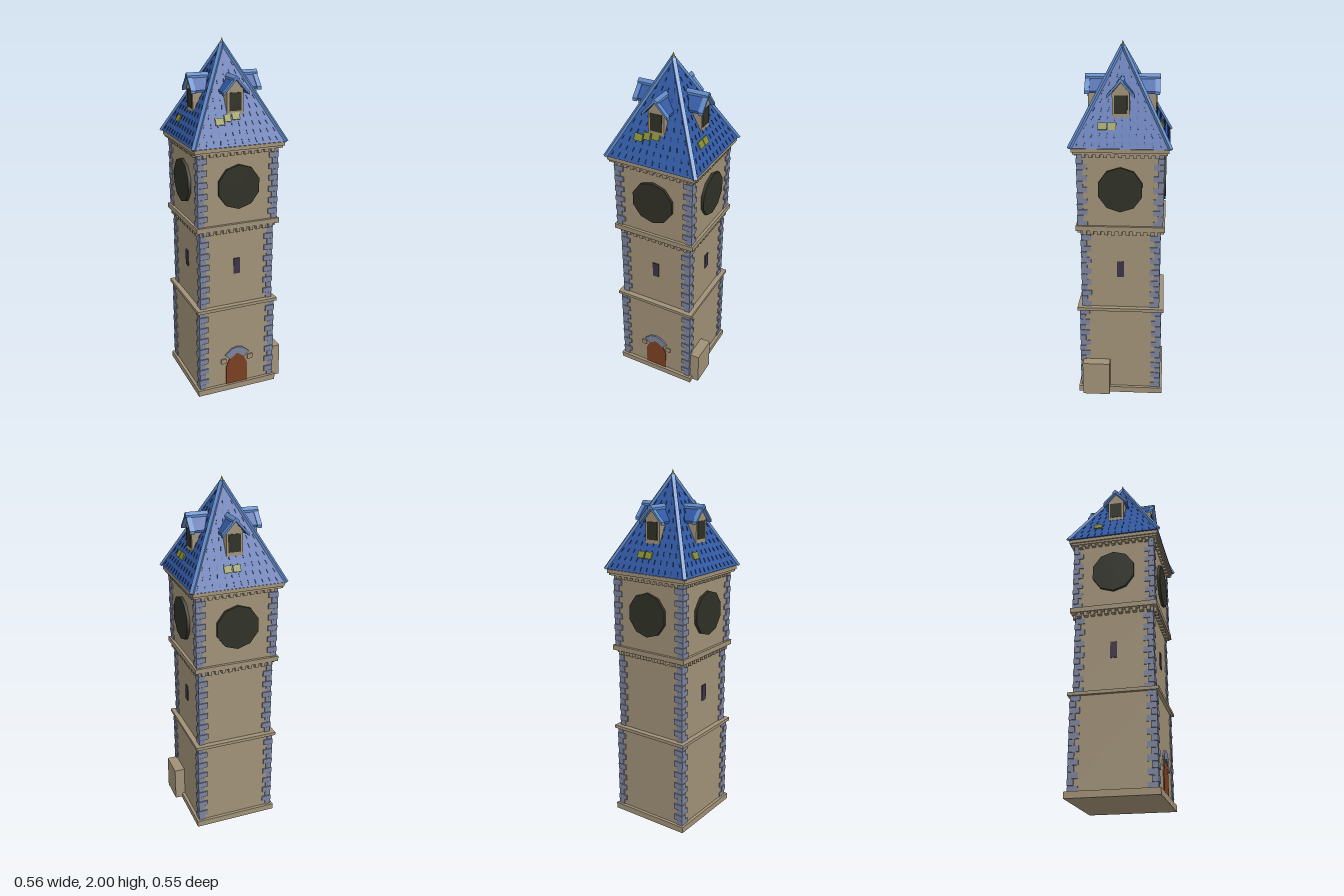
import * as THREE from 'three';
import { mergeGeometries } from 'three/addons/utils/BufferGeometryUtils.js';

const paint = (name, color) => {
  const m = new THREE.MeshStandardMaterial({ color });
  m.name = name;
  return m;
};

// Box geometry placed by its centre
const box = (w, h, d, x, y, z) => new THREE.BoxGeometry(w, h, d).translate(x, y, z);

// Flat outline pushed along z from z0 to z1
const slab = (points, z0, z1) => new THREE.ExtrudeGeometry(
  new THREE.Shape(points.map(p => new THREE.Vector2(...p))),
  { depth: z1 - z0, bevelEnabled: false }).translate(0, 0, z0);

// Inverted V used for gable roofs
const chevron = (half, top, eave, t, z0, z1) => slab(
  [[-half, eave], [-half, eave - t], [0, top - t], [half, eave - t], [half, eave], [0, top]], z0, z1);

export function createModel() {
  const stone = paint('sandstone', 0xa09177);
  const quoinMat = paint('blue grey stone', 0x7b839c);
  const roofMat = paint('roof blue', 0x3159a3);
  const ridgeMat = paint('ridge blue', 0x5f88c6);
  const gapMat = paint('tile gap navy', 0x1f3a70);
  const mossMat = paint('moss', 0x858a33);
  const darkMat = paint('dark glass', 0x2f3026);
  const slitMat = paint('slit purple', 0x3d3348);
  const doorMat = paint('door wood', 0x7a3f22);

  const model = new THREE.Group();
  model.name = 'clockTower';
  const tower = new THREE.Group();
  tower.name = 'tower';
  tower.position.x = -0.01;
  model.add(tower);
  const add = (parent, name, geometry, material) => {
    const m = new THREE.Mesh(geometry, material);
    m.name = name;
    parent.add(m);
    return m;
  };

  // Three wall storeys: half width, bottom, top
  const storeys = [[0.225, 0.03, 0.535], [0.213, 0.545, 1.015], [0.227, 1.035, 1.45]];
  for (const [half, y0, y1] of storeys)
    add(tower, 'wall', box(half * 2, y1 - y0, half * 2, 0, (y0 + y1) / 2, 0), stone);

  // Projecting bands: half width, bottom, top
  const bands = [[0.243, 0, 0.035], [0.243, 0.53, 0.548], [0.243, 1.012, 1.04], [0.25, 1.44, 1.455], [0.257, 1.452, 1.472]];
  for (const [half, y0, y1] of bands)
    add(tower, 'band', box(half * 2, y1 - y0, half * 2, 0, (y0 + y1) / 2, 0), stone);

  // Corner stones, alternating long and short
  const quoins = [];
  for (const [half, y0, y1] of storeys) {
    const n = Math.round((y1 - y0) / 0.033), step = (y1 - y0) / n, out = half + 0.007;
    for (let i = 0; i < n; i++)
      for (const sx of [-1, 1]) for (const sz of [-1, 1]) {
        const w = i % 2 ? 0.055 : 0.034, d = i % 2 ? 0.034 : 0.055;
        const o = out - (i % 2 ? 0 : 0.002);
        quoins.push(box(w, step * 0.94, d, sx * (o - w / 2), y0 + (i + 0.5) * step, sz * (o - d / 2)));
      }
  }
  add(tower, 'cornerStones', mergeGeometries(quoins), quoinMat);

  // Roof pyramid
  const base = 0.262, eave = 1.475, apex = 1.97, rise = apex - eave;
  const slope = Math.hypot(base, rise);
  add(tower, 'roof', new THREE.ConeGeometry(base * Math.SQRT2, rise, 4, 1).toNonIndexed()
    .rotateY(Math.PI / 4).translate(0, eave + rise / 2, 0), roofMat).geometry.computeVertexNormals();
  add(tower, 'finial', new THREE.ConeGeometry(0.012, 0.03, 4).translate(0, 1.985, 0), mossMat);

  // Mossy tiles per side: x, distance out from the axis, width
  const moss = [
    [[-0.095, 0.198, 0.048], [-0.048, 0.191, 0.036], [0, 0.187, 0.044]],
    [[-0.095, 0.206, 0.046], [-0.045, 0.206, 0.046]],
    [[0, 0.214, 0.042], [-0.05, 0.214, 0.042]],
    [[-0.098, 0.212, 0.048]],
  ];

  for (let i = 0; i < 4; i++) {
    const side = new THREE.Group();
    side.name = ['frontSide', 'rightHandSide', 'backSide', 'leftHandSide'][i];
    side.rotation.y = i * Math.PI / 2;
    tower.add(side);

    // Brackets under the two upper bands
    const brackets = [];
    for (let k = 0; k < 11; k++) {
      const x = (k - 5) * 0.039;
      brackets.push(box(0.02, 0.025, 0.03, x, 1.001, 0.222));
      brackets.push(box(0.02, 0.018, 0.022, x, 1.432, 0.234));
    }
    add(side, 'brackets', mergeGeometries(brackets), stone);

    // Ten-sided clock face
    add(side, 'clockFace', new THREE.CylinderGeometry(0.123, 0.123, 0.03, 10).toNonIndexed()
      .rotateX(Math.PI / 2).rotateZ(Math.PI).translate(0, 1.247, 0.228), darkMat);

    // Narrow window, absent at the back
    if (i !== 2) add(side, 'slitWindow', box(0.037, 0.092, 0.008, 0, 0.78, 0.214), slitMat);

    // Roof slope frame: y runs up the tiles, z points outward
    const tiles = new THREE.Group();
    tiles.name = 'tiles';
    tiles.position.set(0, eave, base);
    tiles.rotation.x = -Math.atan(base / rise);
    side.add(tiles);
    const gaps = [];
    for (let r = 0; r < 11; r++) {
      const y = 0.025 + r * 0.047, half = base * (1 - y / slope), n = Math.max(1, Math.round(half / 0.021));
      for (let k = 0; k < n; k++) {
        const x = ((k + 0.5 + (r % 2 ? 0.2 : -0.2)) / n * 2 - 1) * half * 0.95;
        gaps.push(new THREE.BoxGeometry(0.005, 0.024, 0.004)
          .rotateZ(Math.atan(x / (slope - y))).translate(x, y, 0.001));
      }
    }
    add(tiles, 'tileGaps', mergeGeometries(gaps), gapMat);
    for (const [x, out, w] of moss[i])
      add(tiles, 'mossyTile', box(w, 0.038, 0.008, x, slope * (1 - out / base), 0.003), mossMat);

    // Dormer
    const dormer = new THREE.Group();
    dormer.name = 'dormer';
    side.add(dormer);
    add(dormer, 'dormerWall', slab(
      [[-0.046, 1.625], [0.046, 1.625], [0.046, 1.75], [0, 1.803], [-0.046, 1.75]], 0.06, 0.184), stone);
    add(dormer, 'dormerWindow', box(0.068, 0.095, 0.008, 0, 1.692, 0.183), darkMat);
    add(dormer, 'dormerRoof', chevron(0.066, 1.816, 1.742, 0.012, 0.08, 0.18), roofMat);
    add(dormer, 'dormerVerge', chevron(0.073, 1.822, 1.742, 0.016, 0.176, 0.202), ridgeMat);
    add(dormer, 'dormerRidge', chevron(0.017, 1.827, 1.812, 0.012, 0.078, 0.203), ridgeMat);

    // Hip ridge on the corner
    const hip = new THREE.Group();
    hip.name = 'hip';
    hip.rotation.y = Math.PI / 4;
    side.add(hip);
    const run = base * Math.SQRT2;
    const bar = add(hip, 'hipRidge', box(0.02, Math.hypot(run, rise) + 0.004, 0.014, 0, 0, 0.003), ridgeMat);
    bar.position.set(0, eave + rise / 2, run / 2);
    bar.rotation.x = -Math.atan(run / rise);
  }

  // Pointed door with its stone arch
  add(tower, 'door', slab([[-0.067, 0.035], [0.067, 0.035], [0.067, 0.15], [0.045, 0.2], [0, 0.232],
    [-0.045, 0.2], [-0.067, 0.15]], 0.222, 0.23), doorMat);
  add(tower, 'doorArch', slab([[-0.045, 0.2], [-0.075, 0.228], [-0.035, 0.264], [0, 0.272], [0.035, 0.264],
    [0.075, 0.228], [0.045, 0.2], [0, 0.232]], 0.222, 0.234), quoinMat);
  for (const s of [-1, 1])
    add(tower, 'archStone', box(0.03, 0.03, 0.012, s * 0.083, 0.19, 0.227), stone);

  // Side block against the lower wall
  add(tower, 'sideBlock', box(0.075, 0.2, 0.155, 0.2475, 0.11, 0.1375), stone);

  return model;
}
